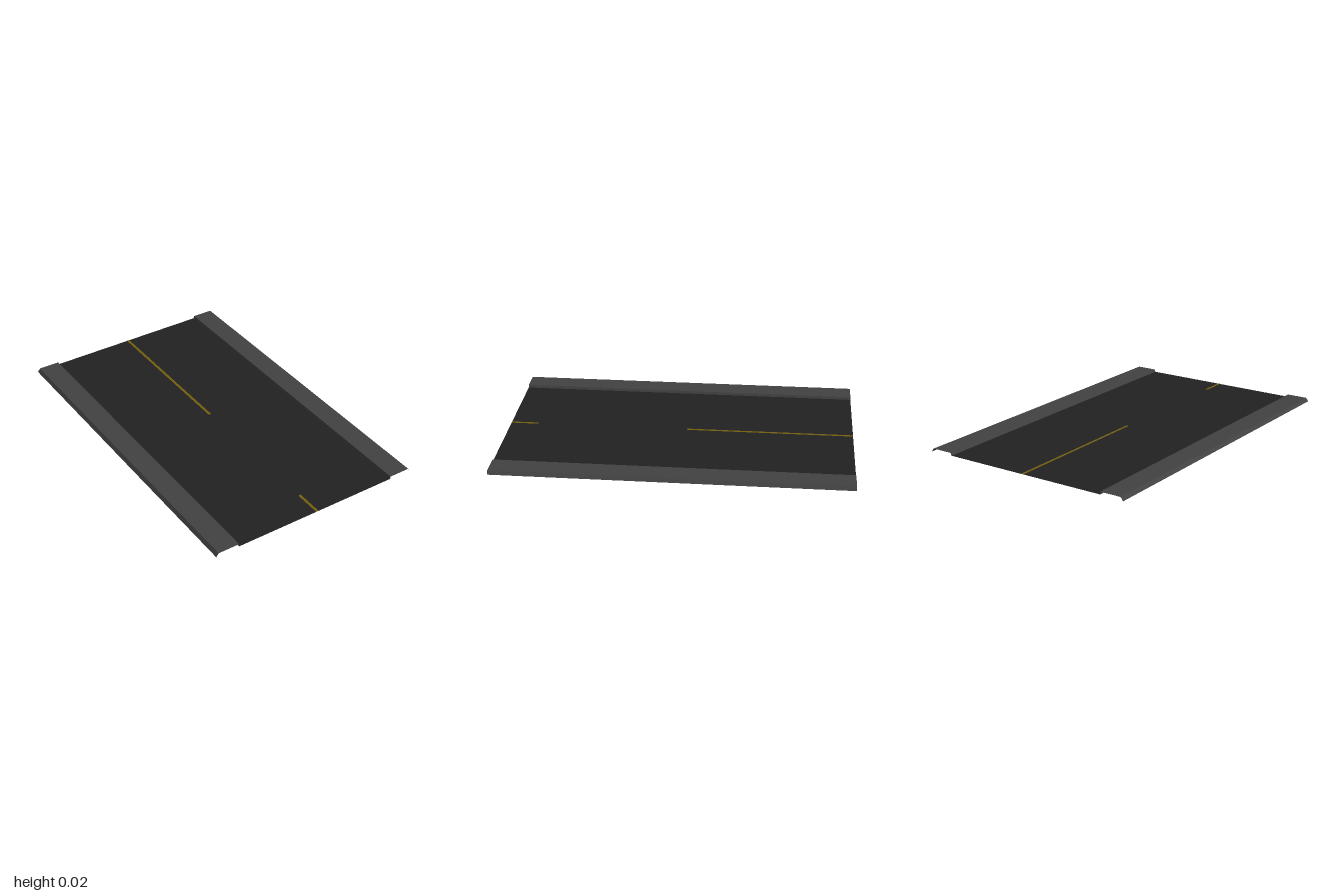
import * as THREE from 'three';

const material = (name, color) => {
  const m = new THREE.MeshStandardMaterial({ color, side: THREE.DoubleSide, flatShading: true });
  m.name = name;
  return m;
};

// Open sheet: a cross-section of [x, y] points swept along z
function sheet(profile, z0, z1) {
  const pos = [];
  for (let i = 0; i < profile.length - 1; i++) {
    const [ax, ay] = profile[i];
    const [bx, by] = profile[i + 1];
    pos.push(ax, ay, z0, ax, ay, z1, bx, by, z1);
    pos.push(ax, ay, z0, bx, by, z1, bx, by, z0);
  }
  const g = new THREE.BufferGeometry();
  g.setAttribute('position', new THREE.Float32BufferAttribute(pos, 3));
  g.computeVertexNormals();
  return g;
}

export function createModel() {
  const model = new THREE.Group();
  model.name = 'roadSection';
  const asphalt = material('asphalt', 0x222222);
  const concrete = material('concrete', 0x424242);
  const yellow = material('yellowPaint', 0x75600f);

  const add = (name, geometry, mat) => {
    const mesh = new THREE.Mesh(geometry, mat);
    mesh.name = name;
    model.add(mesh);
  };

  // Road surface between the pavements
  const roadY = 0.005;
  add('roadSurface', sheet([[-0.5, roadY], [0.5, roadY]], -1, 1), asphalt);

  // Raised pavements: kerb face, flat walk, sloped outer edge
  const walk = [[0.495, roadY], [0.5, 0.02], [0.625, 0.02], [0.64, 0]];
  add('leftPavement', sheet(walk, -1, 1), concrete);
  add('rightPavement', sheet(walk.map(([x, y]) => [-x, y]).reverse(), -1, 1), concrete);

  // Painted centre dashes
  const lineY = roadY + 0.001;
  for (const [name, z0, z1] of [['backCentreDash', -1, -0.04], ['frontCentreDash', 0.84, 1]]) {
    add(name, sheet([[-0.008, lineY], [0.008, lineY]], z0, z1), yellow);
  }
  return model;
}
